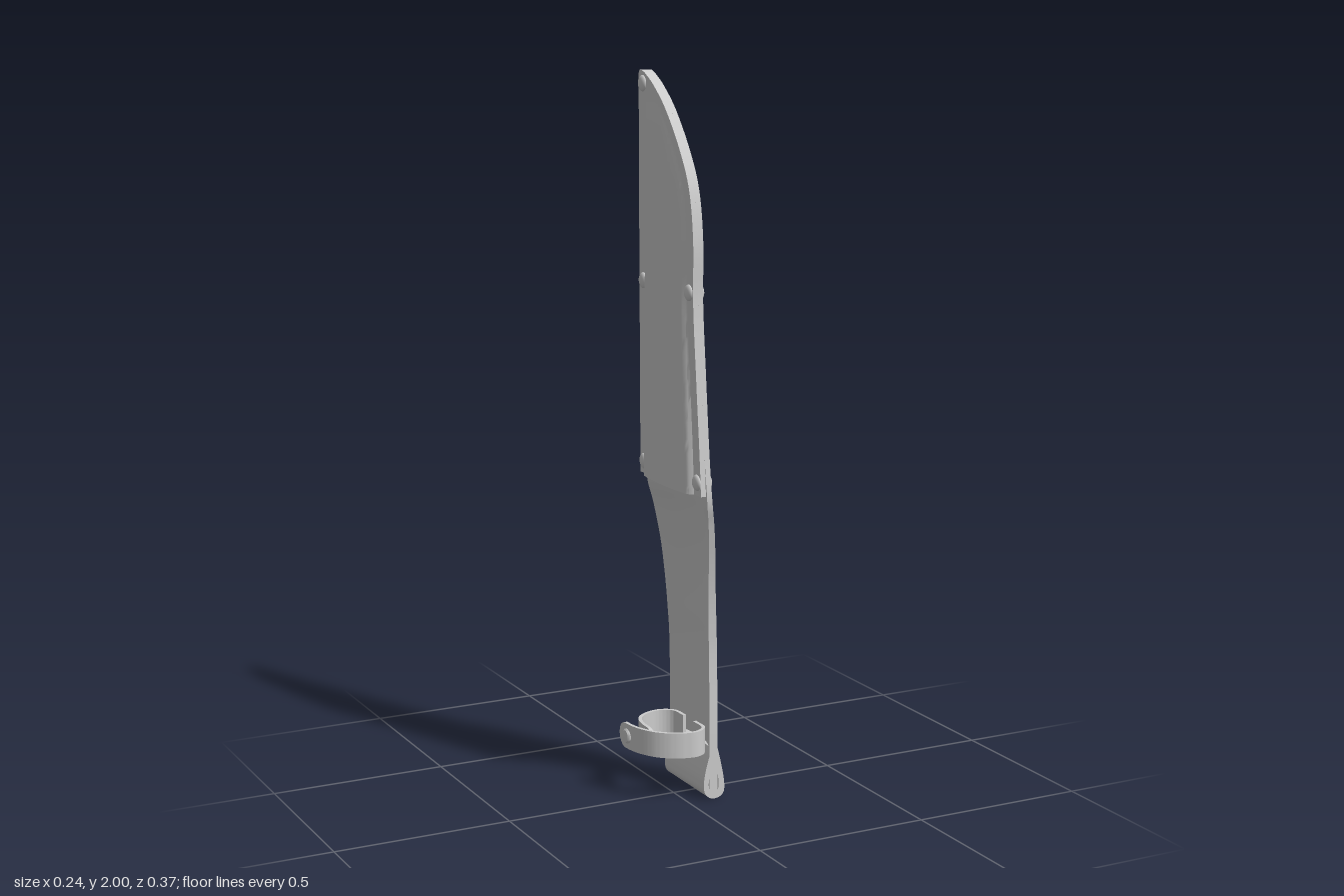
import * as THREE from 'three';
import { toCreasedNormals } from 'three/addons/utils/BufferGeometryUtils.js';

const material = new THREE.MeshStandardMaterial({ color: 0xcccccc, side: THREE.DoubleSide });

function add(group, name, geometry) {
  const mesh = new THREE.Mesh(geometry, material);
  mesh.name = name;
  group.add(mesh);
  return mesh;
}

// Closed slab: two grids (outer, inner) joined by a rim; point(u, v, side) with side 0 or 1
function slab(nu, nv, point) {
  const pos = [], idx = [], row = nu + 1, layer = row * (nv + 1);
  for (let s = 0; s < 2; s++)
    for (let j = 0; j <= nv; j++)
      for (let i = 0; i <= nu; i++) pos.push(...point(i / nu, j / nv, s));
  const quad = (a, b, c, d) => idx.push(a, b, c, a, c, d);
  for (let j = 0; j < nv; j++)
    for (let i = 0; i < nu; i++) {
      const a = j * row + i, b = a + 1, c = b + row, d = a + row;
      quad(a, d, c, b);
      quad(a + layer, b + layer, c + layer, d + layer);
    }
  for (let i = 0; i < nu; i++) {
    const t = nv * row + i;
    quad(i, i + 1, i + 1 + layer, i + layer);
    quad(t + 1, t, t + layer, t + 1 + layer);
  }
  for (let j = 0; j < nv; j++) {
    const a = j * row, b = a + row, c = a + nu, d = c + row;
    quad(b, a, a + layer, b + layer);
    quad(c, d, d + layer, c + layer);
  }
  const g = new THREE.BufferGeometry();
  g.setAttribute('position', new THREE.Float32BufferAttribute(pos, 3));
  g.setIndex(idx);
  return toCreasedNormals(g, 0.7);
}

// Smooth interpolation through rows of [y, zMin, zMax, xEdge, xMid, roundness]
function sections(rows) {
  const curve = k => new THREE.CatmullRomCurve3(
    rows.map(r => new THREE.Vector3(r[k], r[k + 1], r[k + 2])), false, 'catmullrom');
  const outline = curve(0), depth = curve(3);
  return v => [...outline.getPoint(v).toArray(), ...depth.getPoint(v).toArray()];
}

const blade = [
  [1.0, -0.18, 0.175, 0.018, 0.064, 2], [1.2, -0.181, 0.155, 0.018, 0.056, 2],
  [1.4, -0.182, 0.137, 0.018, 0.046, 2], [1.57, -0.183, 0.136, 0.018, 0.035, 2],
  [1.7, -0.183, 0.113, 0.018, 0.028, 2], [1.8, -0.184, 0.06, 0.018, 0.024, 2],
  [1.9, -0.184, -0.02, 0.018, 0.021, 2], [1.96, -0.184, -0.09, 0.018, 0.019, 2],
  [1.99, -0.184, -0.14, 0.018, 0.018, 2], [2.0, -0.178, -0.165, 0.018, 0.018, 2]];
const handle = [
  [0.02, -0.145, 0.095, 0.088, 0.113, 1], [0.2, -0.145, 0.095, 0.088, 0.116, 1],
  [0.4, -0.145, 0.095, 0.086, 0.116, 1], [0.5, -0.145, 0.102, 0.08, 0.113, 1],
  [0.6, -0.148, 0.115, 0.07, 0.108, 1], [0.7, -0.156, 0.136, 0.058, 0.1, 1.2],
  [0.8, -0.168, 0.163, 0.04, 0.086, 1.5], [0.88, -0.178, 0.184, 0.022, 0.073, 1.9]];

// Long panel, bulging toward +x, running from the tip to the belt end
function backPanel() {
  const at = sections([...handle, ...blade]);
  return slab(32, 110, (u, v, s) => {
    const [y, z0, z1, xe, xm, p] = at(v);
    const t = 2 * u - 1, bulge = Math.pow(Math.max(0, 1 - t * t), p);
    const thick = y > 0.9 ? 0.015 : THREE.MathUtils.lerp(0.025, 0.015, Math.max(0, (y - 0.5) / 0.4));
    return [xe + (xm - xe) * bulge - s * thick, y, z0 + (z1 - z0) * u];
  });
}

// Short panel, with a raised embossed field, covering the blade on the -x side
function frontPanel() {
  const at = sections([[0.89, -0.179, 0.184, 0, 0.036, 1], ...blade.map(r =>
    [r[0], r[1], r[2], 0, 0.036 - 0.022 * Math.max(0, r[0] - 0.9), 1])]);
  return slab(48, 90, (u, v, s) => {
    const [y, z0, z1, , xm] = at(v);
    const t = 2 * u - 1, margin = Math.min(u, 1 - u) * (z1 - z0);
    const field = THREE.MathUtils.smoothstep(margin, 0.035, 0.05)
      * (1 - THREE.MathUtils.smoothstep(y, 1.87, 1.93));
    const bulge = field * (0.35 + 0.65 * (1 - t * t)) * (xm - 0.012);
    return [-0.012 - bulge + (1 - s) * 0.015, y, z0 + (z1 - z0) * u];
  });
}

// Teardrop fold at the belt end
function beltLoop() {
  const drop = (Type, pts) => new Type(new THREE.SplineCurve(
    pts.map(p => new THREE.Vector2(...p))).getPoints(40));
  const shape = drop(THREE.Shape, [[0.072, 0.15], [0.058, 0.11], [0.047, 0.06], [0.048, 0.025],
    [0.062, 0.007], [0.08, 0.002], [0.1, 0.008], [0.11, 0.025], [0.108, 0.06], [0.098, 0.11], [0.088, 0.15]]);
  shape.holes.push(drop(THREE.Path, [[0.078, 0.12], [0.067, 0.08], [0.061, 0.045], [0.067, 0.024],
    [0.08, 0.02], [0.09, 0.028], [0.092, 0.05], [0.086, 0.09], [0.078, 0.12]]));
  const g = new THREE.ExtrudeGeometry(shape, { depth: 0.24, bevelEnabled: false });
  g.translate(0, 0, -0.145);
  return toCreasedNormals(g, 0.7);
}

// Strap following a plan path of [x, z], with a rounded free end
function strap(path) {
  const curve = new THREE.CatmullRomCurve3(path.map(([x, z]) => new THREE.Vector3(x, 0, z)));
  const length = curve.getLength(), half = 0.036;
  return slab(4, 60, (u, v, s) => {
    const w = 1 - (1 - v) * (1 - v) * 0.25 - 0.75 * (1 - v);
    const p = curve.getPointAt(w), d = curve.getTangentAt(w);
    const k = Math.min(1, (1 - w) * length / half);
    const h = half * Math.max(0.08, Math.sqrt(1 - (1 - k) * (1 - k)));
    const off = (s - 0.5) * 0.01;
    return [p.x + d.z * off, 0.166 + (u * 2 - 1) * h, p.z - d.x * off];
  });
}

// Button turned about x, from x0 to x1
function snap(group, name, x0, x1, radius, z) {
  const len = x1 - x0, r = radius;
  const profile = [[0, 0], [r * 0.65, 0], [r * 0.8, len * 0.2], [r * 0.85, len * 0.45],
    [r, len * 0.5], [r, len], [0, len]].map(p => new THREE.Vector2(...p));
  const mesh = add(group, name, toCreasedNormals(new THREE.LatheGeometry(profile, 28), 0.6));
  mesh.rotation.z = -Math.PI / 2;
  mesh.position.set(x0, 0.166, z);
}

export function createModel() {
  const model = new THREE.Group();
  model.name = 'knifeSheath';
  add(model, 'backPanel', backPanel());
  add(model, 'frontPanel', frontPanel());
  add(model, 'beltLoop', beltLoop());

  // Retaining straps and their snap halves
  add(model, 'outerStrap', strap([[0.066, 0.0], [0.062, 0.06], [0.03, 0.084], [-0.025, 0.074],
    [-0.07, 0.04], [-0.098, -0.01], [-0.108, -0.055], [-0.109, -0.11]]));
  add(model, 'innerStrap', strap([[0.066, -0.06], [0.06, -0.115], [0.025, -0.136], [-0.02, -0.127],
    [-0.055, -0.098], [-0.071, -0.05], [-0.072, 0.022]]));
  snap(model, 'outerSnap', -0.119, -0.1, 0.026, -0.065);
  snap(model, 'innerSnap', -0.089, -0.066, 0.02, -0.018);

  // Domed rivets on both faces
  const rivets = [[1.965, -0.16], [1.43, -0.158], [1.43, 0.112], [0.925, -0.156], [0.925, 0.16]];
  for (const [y, z] of rivets)
    for (const x of [0.019, -0.012]) {
      const rivet = add(model, 'rivet', new THREE.SphereGeometry(0.022, 20, 14));
      rivet.scale.x = 0.45;
      rivet.position.set(x, y, z);
    }
  return model;
}
